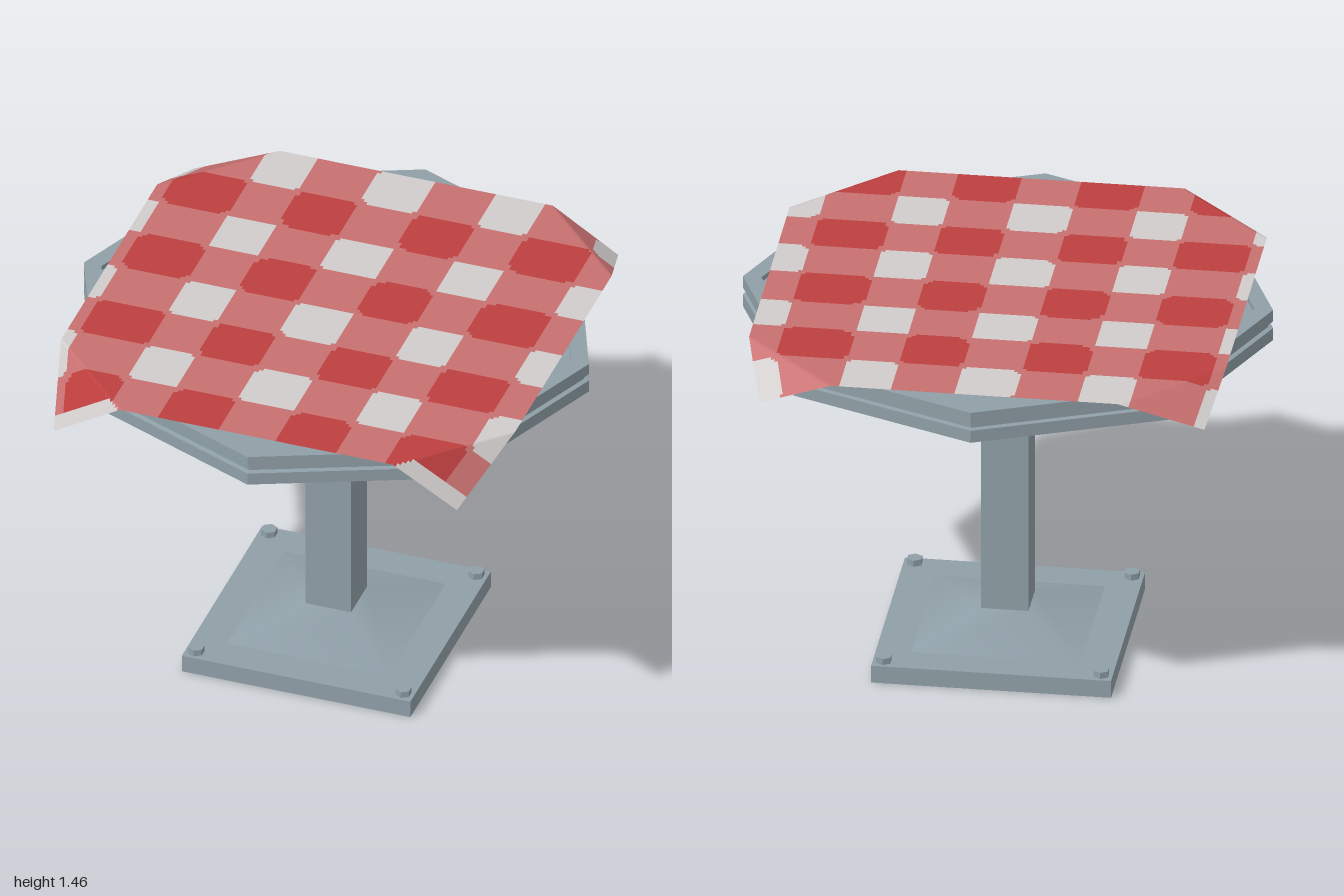
import * as THREE from 'three';

const material = (name, color, side = THREE.FrontSide) => {
  const m = new THREE.MeshStandardMaterial({ color, side });
  m.name = name;
  return m;
};

// Give every face its own normals
function faceted(geometry) {
  const g = geometry.toNonIndexed();
  g.computeVertexNormals();
  return g;
}

// Checked square cloth whose four corners fold down over diagonal creases
function clothGeometry() {
  const N = 120, half = 0.9, step = (2 * half) / N, crease = 1.44, top = 1.46;
  const tipFor = (x, z) => z > 0
    ? (x > 0 ? [0.77, 1.26, 0.83] : [-0.83, 1.245, 0.82])
    : (x > 0 ? [0.82, 1.34, -0.84] : [-0.86, 1.345, -0.84]);

  const positions = [];
  for (let j = 0; j <= N; j++) {
    for (let i = 0; i <= N; i++) {
      const x = -half + i * step, z = -half + j * step;
      const over = Math.max(0, Math.abs(x) + Math.abs(z) - crease);
      const t = over / (2 * half - crease);
      const sx = Math.sign(x), sz = Math.sign(z), tip = tipFor(x, z);
      positions.push(
        x - sx * over / 2 + t * (tip[0] - sx * crease / 2),
        top + t * (tip[1] - top),
        z - sz * over / 2 + t * (tip[2] - sz * crease / 2));
    }
  }

  // Stripe edges; odd bands are red stripes, even bands white
  const xEdges = [-1.06, -0.855, -0.585, -0.385, -0.145, 0.08, 0.315, 0.515, 0.785, 1];
  const zEdges = [-0.91, -0.68, -0.44, -0.22, 0.015, 0.235, 0.47, 0.69, 0.93];
  const band = (v, edges) => {
    let k = 0;
    while (k < edges.length - 2 && v >= edges[k + 1]) k++;
    return { red: k % 2 === 1, c: (edges[k] + edges[k + 1]) / 2, h: (edges[k + 1] - edges[k]) / 2 };
  };
  const colourAt = (x, z) => {
    if (z > 0.84 && Math.abs(x) + z > crease + 0.01) return 2; // pale hem on front flaps
    const a = band(x, xEdges), b = band(z, zEdges);
    if (a.red !== b.red) return 1;
    const r = a.red ? 0.05 : 0.03;
    const dx = Math.max(0, Math.abs(x - a.c) - a.h + r);
    const dz = Math.max(0, Math.abs(z - b.c) - b.h + r);
    return Math.hypot(dx, dz) > r ? 1 : a.red ? 0 : 2;
  };

  const faces = [[], [], []];
  for (let j = 0; j < N; j++) {
    for (let i = 0; i < N; i++) {
      const x = -half + (i + 0.5) * step, z = -half + (j + 0.5) * step;
      const a = j * (N + 1) + i, b = a + 1, c = a + N + 1, d = c + 1;
      // Split cells along the crease direction of their quadrant
      faces[colourAt(x, z)].push(...(x * z > 0 ? [a, c, b, b, c, d] : [a, c, d, a, d, b]));
    }
  }
  const g = new THREE.BufferGeometry();
  g.setAttribute('position', new THREE.Float32BufferAttribute(positions, 3));
  g.setIndex(faces[0].concat(faces[1], faces[2]));
  let start = 0;
  faces.forEach((f, k) => { g.addGroup(start, f.length, k); start += f.length; });
  g.computeVertexNormals();
  return g;
}

export function createModel() {
  const model = new THREE.Group();
  model.name = 'pedestalTable';
  const metal = material('blueGreyMetal', 0x8f9fa7);
  const red = material('clothRed', 0xbd3e3e, THREE.DoubleSide);
  const pink = material('clothPink', 0xc87070, THREE.DoubleSide);
  const white = material('clothWhite', 0xd0cccb, THREE.DoubleSide);

  const add = (name, geometry, mat, x = 0, y = 0, z = 0) => {
    const mesh = new THREE.Mesh(geometry, mat);
    mesh.name = name;
    mesh.position.set(x, y, z);
    model.add(mesh);
    return mesh;
  };

  // Foot plate and its sloped collar
  add('basePlate', new THREE.BoxGeometry(0.905, 0.07, 0.905), metal, 0, 0.035, 0);
  add('baseCollar', new THREE.CylinderGeometry(0.09 * Math.SQRT2, 0.32 * Math.SQRT2, 0.086, 4, 1, true, Math.PI / 4),
    metal, 0, 0.113, 0);

  // Hex bolts at the plate corners
  for (const x of [-0.41, 0.41]) for (const z of [-0.41, 0.41]) {
    add('bolt', faceted(new THREE.CylinderGeometry(0.031, 0.031, 0.03, 6)), metal, x, 0.08, z);
  }

  // Square column
  add('column', new THREE.BoxGeometry(0.18, 1.2, 0.18), metal, 0, 0.715, 0);

  // Octagonal top with a grooved edge and raised rim
  const profile = [[0, 1.31], [1, 1.31], [1, 1.36], [0.98, 1.363], [0.98, 1.385], [1, 1.388],
    [1, 1.435], [0.93, 1.435], [0.93, 1.415], [0, 1.415]].map(([r, y]) => new THREE.Vector2(r, y));
  add('tableTop', faceted(new THREE.LatheGeometry(profile, 8)), metal);

  // Checked tablecloth
  add('tablecloth', clothGeometry(), [red, pink, white]);
  return model;
}
